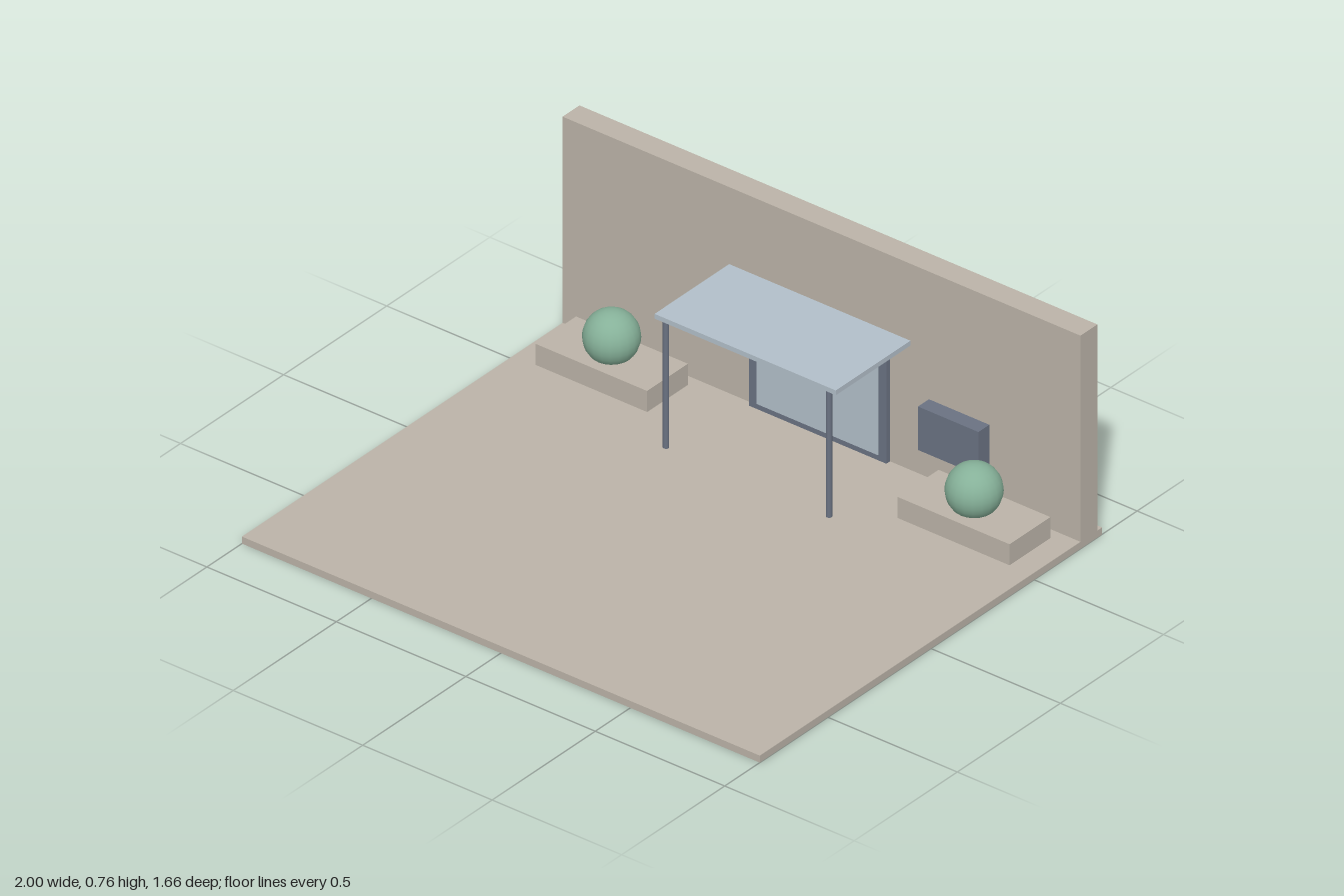
import * as THREE from 'three';

const material = (name, color) => {
  const m = new THREE.MeshStandardMaterial({ color });
  m.name = name;
  return m;
};

export function createModel() {
  const stone = material('stone', 0xbbb3a8);
  const metal = material('darkMetal', 0x6a7282);
  const glass = material('paleGlass', 0xb2bfc9);
  const leaf = material('foliage', 0x86b199);

  const model = new THREE.Group();
  model.name = 'entrance';

  const add = (name, geometry, mat, x, y, z) => {
    const mesh = new THREE.Mesh(geometry, mat);
    mesh.name = name;
    mesh.position.set(x, y, z);
    model.add(mesh);
    return mesh;
  };
  // Box given by its minimum and maximum corners
  const box = (name, mat, [x0, y0, z0], [x1, y1, z1]) =>
    add(name, new THREE.BoxGeometry(x1 - x0, y1 - y0, z1 - z0), mat,
      (x0 + x1) / 2, (y0 + y1) / 2, (z0 + z1) / 2);

  // Paving and facade wall
  box('paving', stone, [-1, 0, -0.83], [1, 0.025, 0.83]);
  box('wall', stone, [-1, 0.025, -0.807], [1, 0.76, -0.725]);

  // Doorway: frame with a thin glass pane on its face
  box('doorFrame', metal, [-0.265, 0.025, -0.727], [0.265, 0.46, -0.707]);
  box('doorGlass', glass, [-0.235, 0.045, -0.709], [0.235, 0.44, -0.704]);

  // Canopy roof
  box('canopy', glass, [-0.35, 0.475, -0.717], [0.35, 0.492, -0.355]);

  // Wall-mounted panel
  box('wallPanel', metal, [0.415, 0.15, -0.725], [0.648, 0.305, -0.672]);

  // Mirrored posts, planters and round shrubs
  for (const [side, s] of [['left', 1], ['right', -1]]) {
    add(side + 'Post', new THREE.CylinderGeometry(0.01, 0.01, 0.45, 12), metal, s * 0.315, 0.25, -0.366);
    add(side + 'Planter', new THREE.BoxGeometry(0.432, 0.075, 0.198), stone, s * 0.7, 0.0625, -0.586);
    add(side + 'Shrub', new THREE.SphereGeometry(0.09, 20, 14), leaf, s * 0.7, 0.163, -0.586);
  }

  return model;
}
